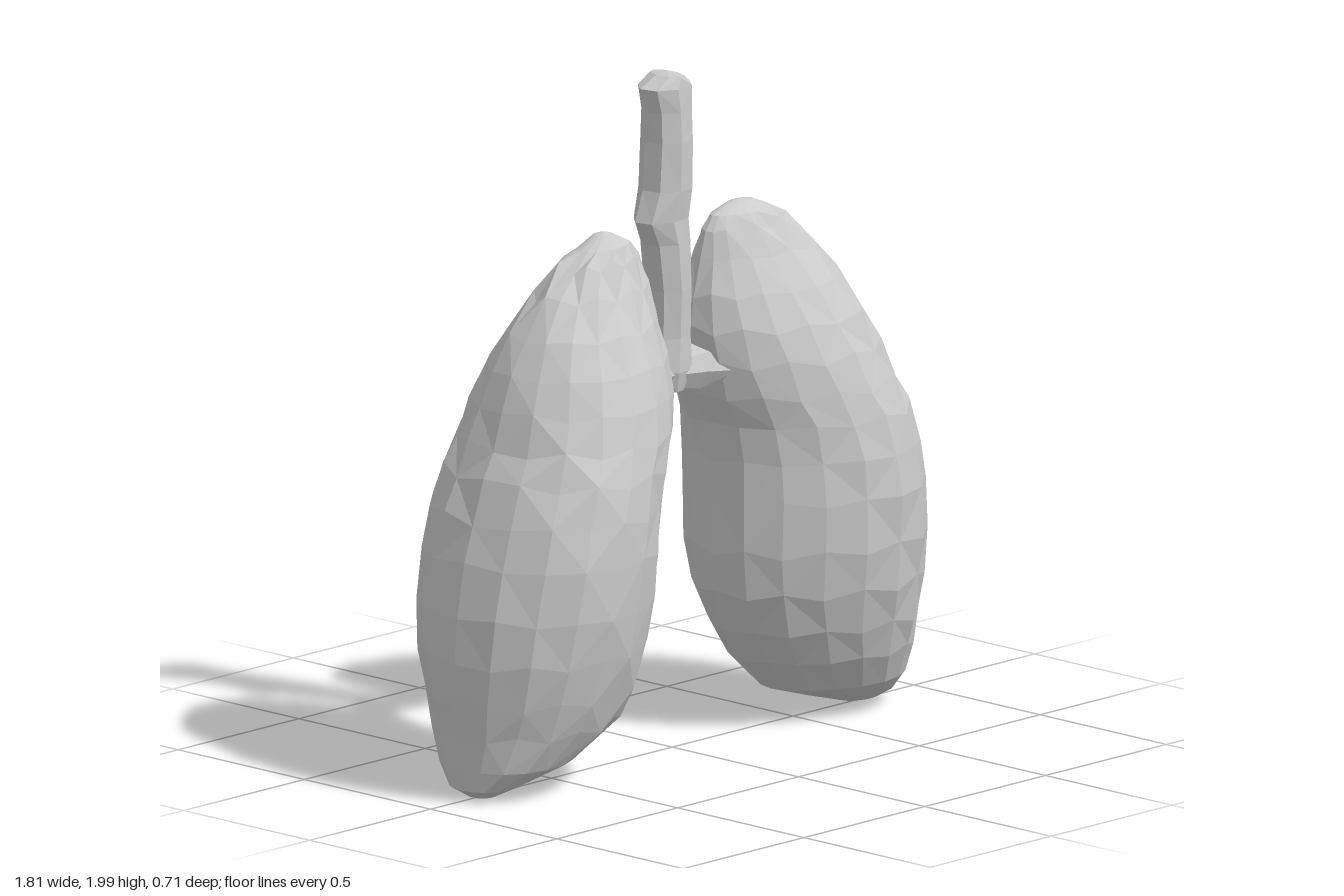
import * as THREE from 'three';

const material = new THREE.MeshStandardMaterial({ color: 0xcccccc, flatShading: true });

// Closed skin over a stack of rings (each an equal-length array of Vector3, bottom to top)
function loft(rings, name) {
  const n = rings[0].length, pos = [], idx = [];
  rings.forEach(r => r.forEach(p => pos.push(p.x, p.y, p.z)));
  for (let i = 0; i < rings.length - 1; i++) {
    for (let j = 0; j < n; j++) {
      const a = i * n + j, b = i * n + (j + 1) % n, c = a + n, d = b + n;
      if ((i + j) % 2) idx.push(a, c, b, b, c, d);
      else idx.push(a, d, b, a, c, d);
    }
  }
  // Centre points close both ends
  [0, rings.length - 1].forEach((k, end) => {
    const m = new THREE.Vector3();
    rings[k].forEach(p => m.addScaledVector(p, 1 / n));
    const centre = pos.length / 3;
    pos.push(m.x, m.y + (end ? 0.008 : -0.004), m.z);
    for (let j = 0; j < n; j++) {
      const a = k * n + j, b = k * n + (j + 1) % n;
      idx.push(...(end ? [centre, b, a] : [centre, a, b]));
    }
  });
  const geo = new THREE.BufferGeometry();
  geo.setAttribute('position', new THREE.Float32BufferAttribute(pos, 3));
  geo.setIndex(idx);
  geo.computeVertexNormals();
  const mesh = new THREE.Mesh(geo, material);
  mesh.name = name;
  return mesh;
}

// Lung cross-sections: [height, inner x, outer x, half depth]
const leftRows = [
  [0.01, 0.72, 0.85, 0.04], [0.05, 0.58, 0.88, 0.12], [0.10, 0.42, 0.90, 0.18],
  [0.20, 0.32, 0.90, 0.24], [0.30, 0.25, 0.905, 0.28], [0.42, 0.20, 0.905, 0.315],
  [0.55, 0.18, 0.905, 0.338], [0.70, 0.18, 0.89, 0.348], [0.82, 0.18, 0.865, 0.342],
  [0.93, 0.165, 0.83, 0.328], [1.02, 0.125, 0.79, 0.305], [1.12, 0.10, 0.745, 0.278],
  [1.22, 0.09, 0.695, 0.24], [1.32, 0.10, 0.635, 0.187], [1.42, 0.13, 0.55, 0.125],
  [1.50, 0.15, 0.46, 0.08], [1.54, 0.18, 0.40, 0.055], [1.565, 0.24, 0.34, 0.025],
];
const rightRows = [
  [0.01, 0.74, 0.83, 0.04], [0.04, 0.66, 0.88, 0.10], [0.10, 0.46, 0.885, 0.18],
  [0.20, 0.295, 0.89, 0.24], [0.30, 0.24, 0.90, 0.28], [0.42, 0.215, 0.905, 0.315],
  [0.55, 0.20, 0.895, 0.338], [0.70, 0.19, 0.865, 0.348], [0.82, 0.18, 0.83, 0.342],
  [0.93, 0.15, 0.785, 0.328], [1.02, 0.11, 0.745, 0.305], [1.12, 0.095, 0.71, 0.278],
  [1.22, 0.10, 0.67, 0.24], [1.32, 0.115, 0.615, 0.187], [1.42, 0.13, 0.53, 0.125],
  [1.50, 0.16, 0.45, 0.08], [1.54, 0.19, 0.38, 0.055], [1.575, 0.26, 0.32, 0.025],
];

function lung(rows, side, zShift, name) {
  const sides = 18;
  const rings = rows.map(([y, inner, outer, depth], i) => {
    const ring = [];
    for (let j = 0; j < sides; j++) {
      const t = side * j / sides * Math.PI * 2;
      // Slightly uneven facets, fuller towards the outer edge
      const wobble = 1 + 0.012 * Math.sin(i * 2.3 + j * 4.1);
      const x = (inner + outer) / 2 + (outer - inner) / 2 * Math.cos(t);
      const z = depth * Math.sin(t) * (1 + 0.13 * Math.cos(t)) * wobble + zShift;
      const lift = i > 2 && i < rows.length - 2 ? 0.012 * Math.sin(i * 3.7 + j * 2.9) : 0;
      ring.push(new THREE.Vector3(side * x, y + lift, z));
    }
    return ring;
  });
  return loft(rings, name);
}

// Windpipe rings: [height, min x, max x, back z, front z]
function windpipe() {
  const rows = [
    [1.06, -0.04, 0.04, -0.05, 0.03], [1.12, -0.085, 0.085, -0.08, 0.045],
    [1.22, -0.065, 0.07, -0.08, 0.045], [1.36, -0.065, 0.07, -0.09, 0.05],
    [1.50, -0.085, 0.07, -0.09, 0.05], [1.57, -0.12, 0.07, -0.09, 0.05],
    [1.66, -0.09, 0.07, -0.095, 0.06], [1.80, -0.08, 0.07, -0.095, 0.06],
    [1.89, -0.08, 0.07, -0.09, 0.055], [1.96, -0.098, 0.08, -0.092, 0.052],
    [1.992, -0.035, 0.03, -0.08, 0.045],
  ];
  return loft(rows.map(([y, x0, x1, z0, z1]) => {
    const ring = [];
    for (let j = 0; j < 8; j++) {
      const t = (j + 0.25) / 8 * Math.PI * 2;
      ring.push(new THREE.Vector3((x0 + x1) / 2 + (x1 - x0) / 2 * Math.cos(t), y,
        (z0 + z1) / 2 + (z1 - z0) / 2 * Math.sin(t)));
    }
    return ring;
  }), 'windpipe');
}

// Branch flaring from the windpipe into a lung: stations are [x, y, z, half height, half depth]
function bronchus(stations, side, name) {
  const rings = stations.map(([x, y, z, h, d], i) => {
    const ring = [];
    for (let j = 0; j < 7; j++) {
      const t = -side * j / 7 * Math.PI * 2;
      const bump = j % 2 ? 1 : 0.88;
      ring.push(new THREE.Vector3(side * x, y + h * bump * Math.sin(t), z + d * Math.cos(t)));
    }
    return ring;
  });
  // Rings run along x, so the winding follows the side
  return loft(rings, name);
}

export function createModel() {
  const model = new THREE.Group();
  model.name = 'lungs';
  model.add(lung(leftRows, 1, -0.012, 'leftLung'));
  model.add(lung(rightRows, -1, 0.004, 'rightLung'));
  model.add(windpipe());
  model.add(bronchus([
    [0.0, 1.11, -0.02, 0.05, 0.05], [0.08, 1.11, -0.01, 0.07, 0.07],
    [0.16, 1.11, 0.0, 0.08, 0.11], [0.28, 1.04, 0.02, 0.06, 0.13],
  ], 1, 'leftBronchus'));
  model.add(bronchus([
    [0.0, 1.11, -0.02, 0.05, 0.05], [0.08, 1.12, -0.01, 0.06, 0.06],
    [0.15, 1.08, 0.02, 0.10, 0.10], [0.25, 1.05, 0.02, 0.08, 0.11],
  ], -1, 'rightBronchus'));
  // Both faces drawn on the thin branches
  model.children.slice(3).forEach(m => {
    m.material = material.clone();
    m.material.side = THREE.DoubleSide;
  });
  return model;
}
